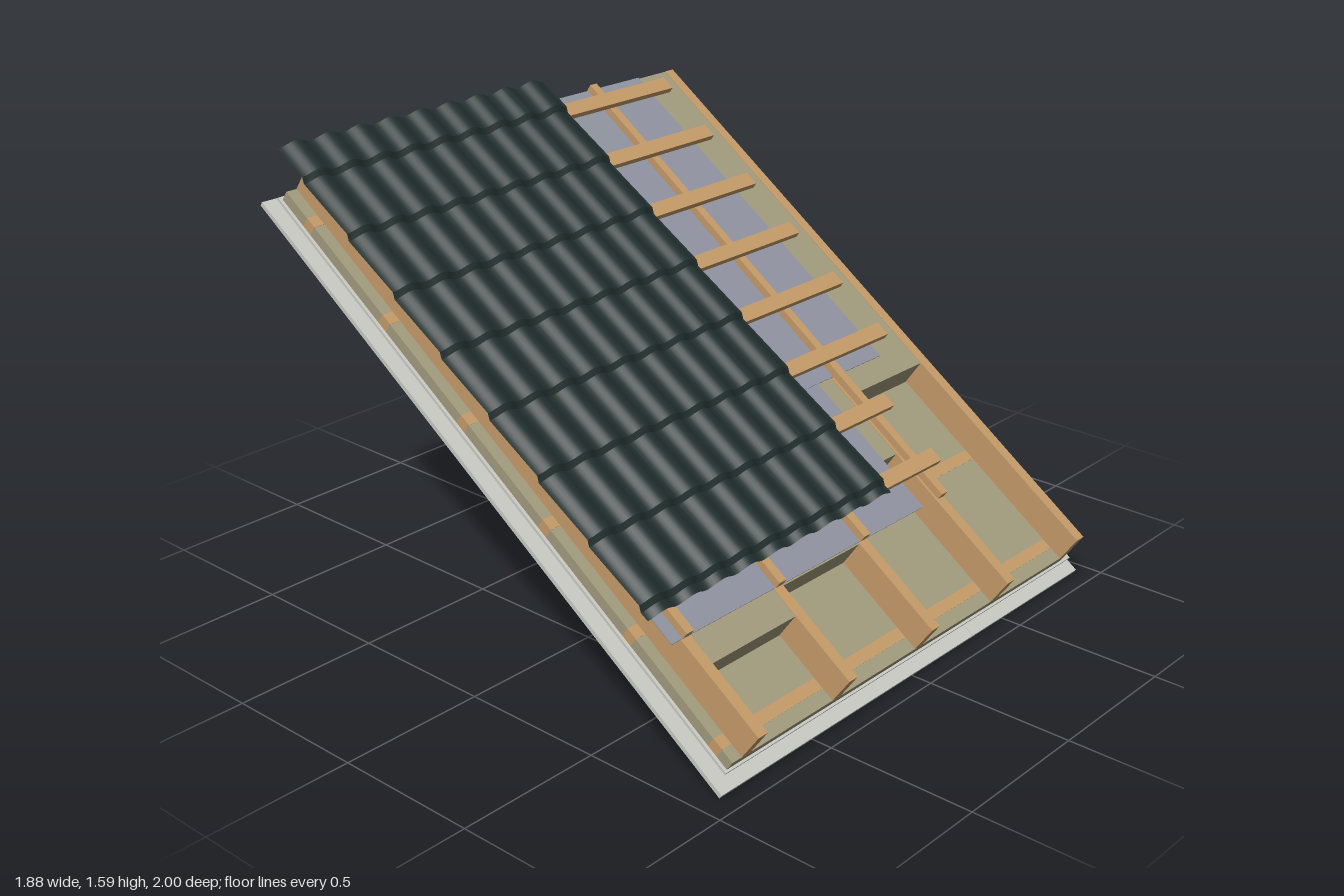
import * as THREE from 'three';
import { toCreasedNormals } from 'three/addons/utils/BufferGeometryUtils.js';

function mat(name, color, side = THREE.FrontSide) {
  const m = new THREE.MeshStandardMaterial({ color, side });
  m.name = name;
  return m;
}

export function createModel() {
  const model = new THREE.Group();
  model.name = 'roofSection';
  const wood = mat('wood', 0xc59b68);
  const wool = mat('insulation', 0xa29b7e);
  const board = mat('plasterboard', 0xc9cac4);
  const foil = mat('membrane', 0x9094a0);
  const steel = mat('tileSteel', 0x22302f, THREE.DoubleSide);

  // Everything lies on a 35 degree pitch: s runs up the slope, n is the height off it.
  const slope = new THREE.Group();
  slope.name = 'pitchedLayers';
  slope.rotation.x = THREE.MathUtils.degToRad(35);
  model.add(slope);

  function slab(name, material, [x0, x1], [s0, s1], [n0, n1]) {
    const mesh = new THREE.Mesh(new THREE.BoxGeometry(x1 - x0, n1 - n0, s1 - s0), material);
    mesh.position.set((x0 + x1) / 2, (n0 + n1) / 2, -(s0 + s1) / 2);
    mesh.name = name;
    slope.add(mesh);
  }

  const low = -0.712, high = 1.557;
  const rafterX = [-0.82, -0.405, 0.01, 0.425, 0.838];

  // Ceiling boards with one joint, and the air-tight sheet above
  slab('ceilingBoardRight', board, [-0.92, 0.318], [-0.76, 1.596], [0.533, 0.548]);
  slab('ceilingBoardLeft', board, [0.32, 0.94], [-0.76, 1.596], [0.533, 0.548]);
  slab('vapourSheet', board, [-0.89, 0.91], [-0.72, 1.57], [0.578, 0.587]);

  // Cross battens with insulation strips between them
  const crossS = [-0.645, -0.24, 0.175, 0.59, 1.005, 1.42];
  let from = low;
  for (const s of crossS) {
    slab('crossBatten', wood, [-0.88, 0.86], [s - 0.02, s + 0.02], [0.588, 0.626]);
    slab('lowerInsulation', wool, [-0.88, 0.86], [from, s - 0.02], [0.588, 0.625]);
    from = s + 0.02;
  }
  slab('lowerInsulation', wool, [-0.88, 0.86], [from, high], [0.588, 0.625]);

  // Rafters, ceiling battens below and counter battens above
  rafterX.forEach((x, i) => {
    slab('rafter', wood, [x - 0.02, x + 0.02], [low, high], [0.626, 0.732]);
    slab('ceilingBatten', wood, [x - 0.02, x + 0.02], [low, high], [0.548, 0.578]);
    if (i < 4) slab('counterBatten', wood, [x - 0.016, x + 0.016], [-0.357, high + 0.003], [0.737, 0.763]);
  });

  // Insulation between rafters, each bay cut back further
  [-0.46, -0.36, -0.153, 0.1].forEach((s, i) => {
    slab('rafterInsulation', wool, [rafterX[i] + 0.02, rafterX[i + 1] - 0.02], [s, high], [0.625, 0.73]);
  });

  // Two overlapping underlay sheets
  slab('lowerUnderlay', foil, [-0.88, 0.33], [-0.355, 0.26], [0.732, 0.735]);
  slab('upperUnderlay', foil, [-0.88, 0.67], [0.185, high], [0.734, 0.737]);

  // Tile battens
  for (let i = 0; i < 8; i++) {
    const s = -0.232 + i * 0.243;
    slab('tileBatten', wood, [-0.88, i < 2 ? 0.495 : 0.72], [s - 0.027, s + 0.027], [0.763, 0.785]);
  }

  // Steel tile sheets: round waves across, a step at every batten
  const rows = [[-0.278, 0.002]];
  for (let i = 0; i < 8; i++) {
    const s = -0.235 + i * 0.243;
    rows.push([s - 0.012, 0], [s + 0.006, 0.014]);
  }
  rows.push([1.602, 0.006]);
  const width = 0.38, cols = 36;
  for (let p = 0; p < 3; p++) {
    const x0 = -0.945 + p * width;
    const geo = new THREE.PlaneGeometry(1, 1, cols, rows.length - 1);
    const pos = geo.attributes.position;
    for (let v = 0; v < pos.count; v++) {
      const u = (v % (cols + 1)) / cols;
      const [s, lift] = rows[rows.length - 1 - Math.floor(v / (cols + 1))];
      const wave = 0.011 * (1 - Math.cos(u * 6 * Math.PI));
      pos.setXYZ(v, x0 + u * width, 0.788 + lift + wave, -s);
    }
    geo.computeVertexNormals();
    const sheet = new THREE.Mesh(toCreasedNormals(geo, 0.4), steel);
    sheet.name = 'tileSheet';
    slope.add(sheet);
  }
  return model;
}
